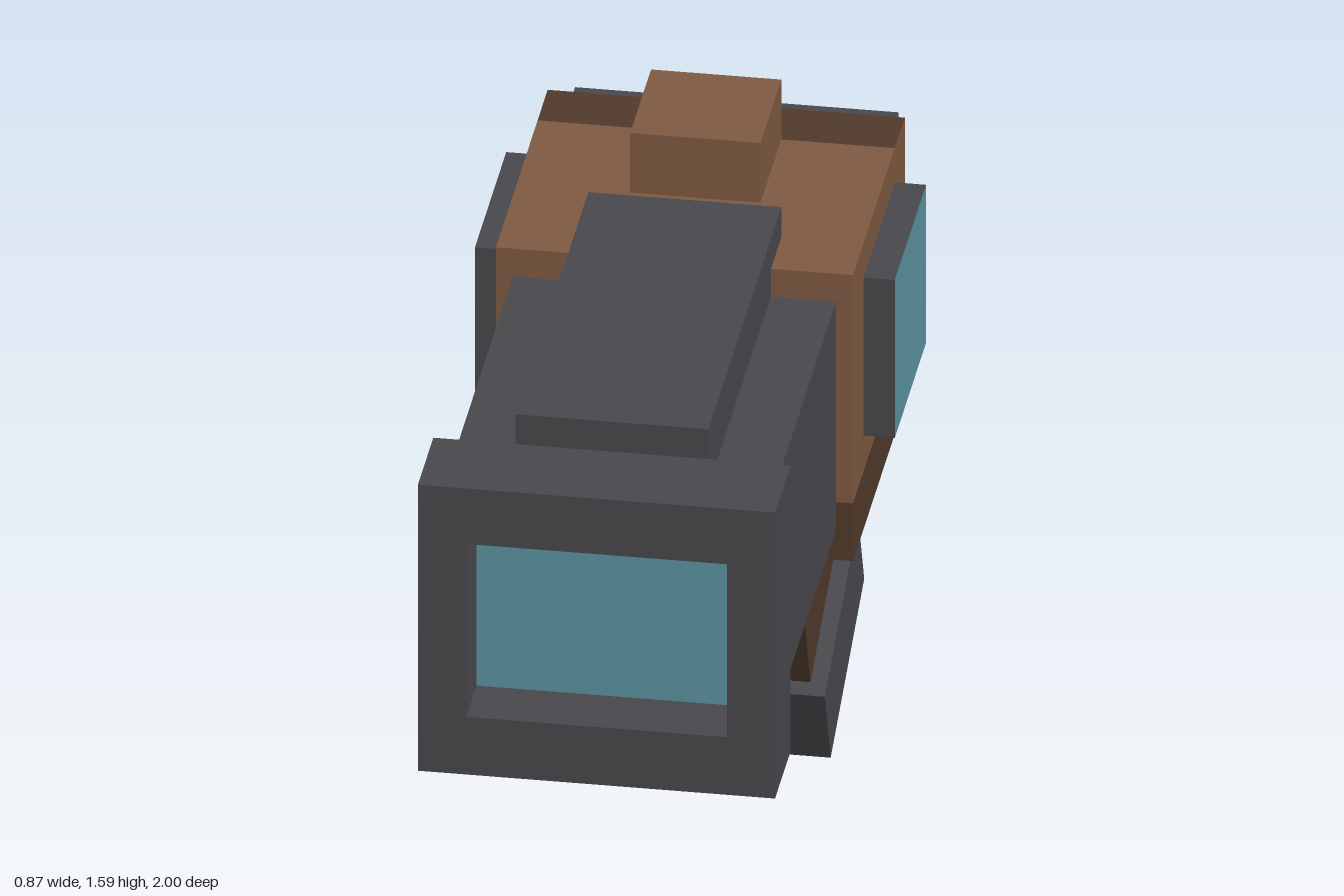
import * as THREE from 'three';

const mat = (name, color) => {
  const m = new THREE.MeshStandardMaterial({ color });
  m.name = name;
  return m;
};

export function createModel() {
  const grey = mat('dark grey', 0x49484d);
  const brown = mat('brown', 0x805b42);
  const darkBrown = mat('dark brown', 0x513a2c);
  const teal = mat('teal glass', 0x5c95a1);

  const model = new THREE.Group();
  model.name = 'scanner';

  // Box given by its extents: half width about x, then y and z ranges
  const block = (name, halfX, y0, y1, z0, z1, material, parent = model) => {
    const geo = new THREE.BoxGeometry(halfX * 2, y1 - y0, z1 - z0);
    const mesh = new THREE.Mesh(geo, material);
    mesh.position.set(0, (y0 + y1) / 2, (z0 + z1) / 2);
    mesh.name = name;
    parent.add(mesh);
    return mesh;
  };

  // Barrel, top rail and rear cap
  block('barrel', 0.335, 0.85, 1.385, -0.05, 0.85 - 0.05, grey);
  block('topRail', 0.2, 1.38, 1.52, -0.145, 0.8, grey);
  block('rearCap', 0.335, 0.85, 1.385, -0.815, -0.68, grey);

  // Front frame with a square opening and recessed lens
  const rect = (path, x, y0, y1) => path
    .moveTo(-x, y0).lineTo(x, y0).lineTo(x, y1).lineTo(-x, y1).closePath();
  const outline = new THREE.Shape();
  rect(outline, 0.37, 0.78, 1.45);
  const opening = new THREE.Path();
  rect(opening, 0.27, 0.915, 1.32);
  outline.holes.push(opening);
  const frame = new THREE.Mesh(
    new THREE.ExtrudeGeometry(outline, { depth: 0.2, bevelEnabled: false }), grey);
  frame.position.z = 0.8;
  frame.name = 'frontFrame';
  model.add(frame);
  block('frontLens', 0.27, 0.915, 1.32, 0.8, 0.867, teal);

  // Body: dark lower band, brown upper part, dark strip on the rear of the top
  block('bodyLower', 0.37, 0.78, 0.915, -0.68, -0.01, darkBrown);
  block('bodyUpper', 0.37, 0.915, 1.45, -0.55, -0.01, brown);
  block('bodyRear', 0.37, 0.915, 1.45, -0.68, -0.55,
    [brown, brown, darkBrown, brown, brown, brown]);
  block('topButton', 0.135, 1.45, 1.59, -0.55, -0.28, brown);

  // Side screens, teal only on the outer face
  for (const side of [1, -1]) {
    const faces = Array(6).fill(grey);
    faces[side > 0 ? 0 : 1] = teal;
    const screen = block(side > 0 ? 'leftScreen' : 'rightScreen',
      0.0325, 1.0, 1.37, -0.55, -0.145, faces);
    screen.position.x = side * 0.4025;
  }

  // Slanted handle with its foot
  const handle = new THREE.Group();
  handle.name = 'handle';
  handle.position.set(0, 0.277, -0.705);
  handle.rotation.x = Math.PI / 8;
  block('grip', 0.2, 0, 0.72, -0.2, 0.2, darkBrown, handle);
  block('gripFoot', 0.235, -0.2, 0, -0.235, 0.235, grey, handle);
  model.add(handle);

  return model;
}
